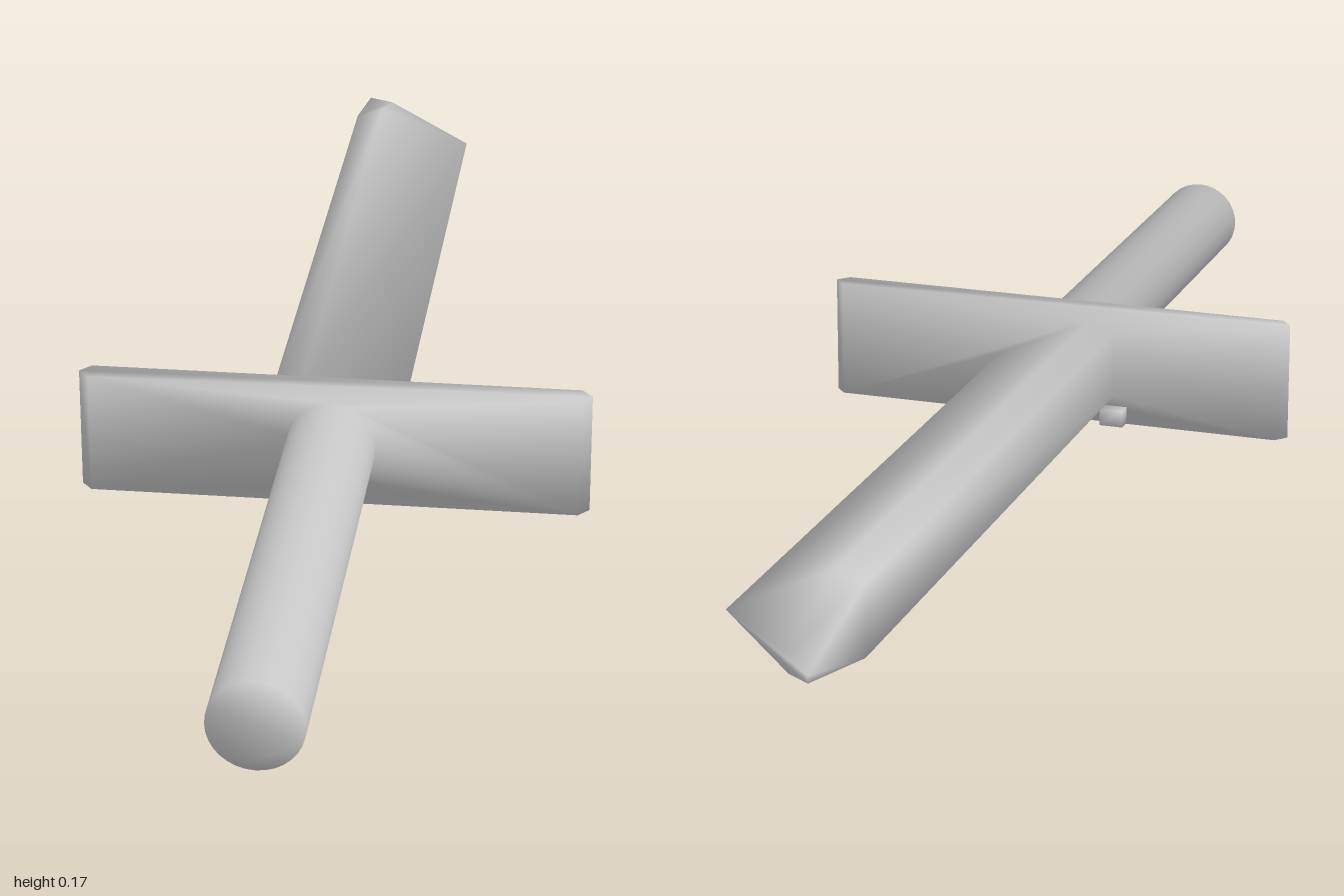
import * as THREE from 'three';

const MID = 0.09; // height of the cutting edge

// Triangles of a wall joining rings that run from +z to -z (each counter-clockwise from the front)
function wall(...rings) {
  const triangles = [];
  for (let r = 0; r < rings.length - 1; r++) {
    const near = rings[r], far = rings[r + 1];
    near.forEach((a, i) => {
      const j = (i + 1) % near.length;
      triangles.push([a, far[i], near[j]], [near[j], far[i], far[j]]);
    });
  }
  return triangles;
}

// Triangles of a flat face, with an optional hole, looking to +z or -z
function face(ring, toFront, hole) {
  const points = hole ? [...ring, ...hole] : ring;
  const flat = (list) => list.map((p) => new THREE.Vector2(p.x, p.y));
  return THREE.ShapeUtils.triangulateShape(flat(ring), hole ? [flat(hole)] : [])
    .map(([a, b, c]) => (toFront ? [a, b, c] : [a, c, b]).map((i) => points[i]));
}

// Vertex normals averaged over all parts that touch, weighted by corner angle
function softNormals(parts) {
  const sums = new Map();
  const key = (p) => p.toArray().map((v) => Math.round(v * 10000)).join();
  const normal = new THREE.Vector3();
  for (const triangle of Object.values(parts).flat()) {
    new THREE.Triangle(...triangle).getNormal(normal);
    triangle.forEach((p, i) => {
      const u = triangle[(i + 1) % 3].clone().sub(p);
      const v = triangle[(i + 2) % 3].clone().sub(p);
      const sum = sums.get(key(p)) ?? new THREE.Vector3();
      sums.set(key(p), sum.addScaledVector(normal, u.angleTo(v)));
    });
  }
  sums.forEach((sum) => sum.normalize());
  return (p) => sums.get(key(p));
}

const rectangle = (x0, x1, y0, y1, z) =>
  [[x1, y0], [x1, y1], [x0, y1], [x0, y0]].map(([x, y]) => new THREE.Vector3(x, y, z));

const circle = (z) => Array.from({ length: 32 }, (_, i) => {
  const a = (i / 32) * Math.PI * 2;
  return new THREE.Vector3(-0.002 + 0.061 * Math.cos(a), 0.0875 + 0.061 * Math.sin(a), z);
});

export function createModel() {
  // Cross guard: flat bar with pointed ends
  const guardFront = rectangle(-0.335, 0.335, 0, 0.172, 0.2605);
  const guardMiddle = rectangle(-0.35, 0.35, 0, 0.172, 0.243);
  const guardBack = rectangle(-0.335, 0.335, 0, 0.172, 0.2255);

  // Round grip growing out of the guard
  const gripEnd = circle(1);
  const gripRoot = circle(0.2605);

  // Blade: single edge at +x, thickest near the spine, chamfered back;
  // the last number is how much thickness is left at the slanted tip
  const section = [
    [0.085, MID, 1], [-0.05, 0.152, 0.22], [-0.09, 0.138, 0.1], [-0.09, 0.041, 0.1], [-0.05, 0.027, 0.22],
  ];
  const slant = (x) => -0.83 - (0.085 - x) * 0.17 / 0.175;
  const bladeRoot = section.map(([x, y]) => new THREE.Vector3(x, y, 0.2255));
  const bladeShoulder = section.map(([x, y], i) => new THREE.Vector3(x, y, i === 0 ? -0.83 : -0.81));
  const bladeTip = section.map(([x, y, k]) => new THREE.Vector3(x, MID + (y - MID) * k, slant(x)));

  // Small catch at the foot of the blade
  const catchFront = rectangle(-0.11, -0.075, 0.001, 0.026, 0.235);
  const catchBack = rectangle(-0.11, -0.075, 0.001, 0.026, 0.205);

  const parts = {
    grip: [...face(gripEnd, true), ...wall(gripEnd, gripRoot)],
    crossGuard: [
      ...face(guardFront, true, gripRoot),
      ...wall(guardFront, guardMiddle, guardBack),
      ...face(guardBack, false, bladeRoot),
    ],
    blade: [...wall(bladeRoot, bladeShoulder, bladeTip), ...face(bladeTip, false)],
    catch: [...face(catchFront, true), ...wall(catchFront, catchBack), ...face(catchBack, false)],
  };

  const group = new THREE.Group();
  const material = new THREE.MeshStandardMaterial({ color: 0xcccccc });
  const normalAt = softNormals(parts);
  for (const [name, triangles] of Object.entries(parts)) {
    const corners = triangles.flat();
    const geometry = new THREE.BufferGeometry().setFromPoints(corners);
    const normals = corners.flatMap((p) => normalAt(p).toArray());
    geometry.setAttribute('normal', new THREE.Float32BufferAttribute(normals, 3));
    const mesh = new THREE.Mesh(geometry, material);
    mesh.name = name;
    group.add(mesh);
  }
  return group;
}
